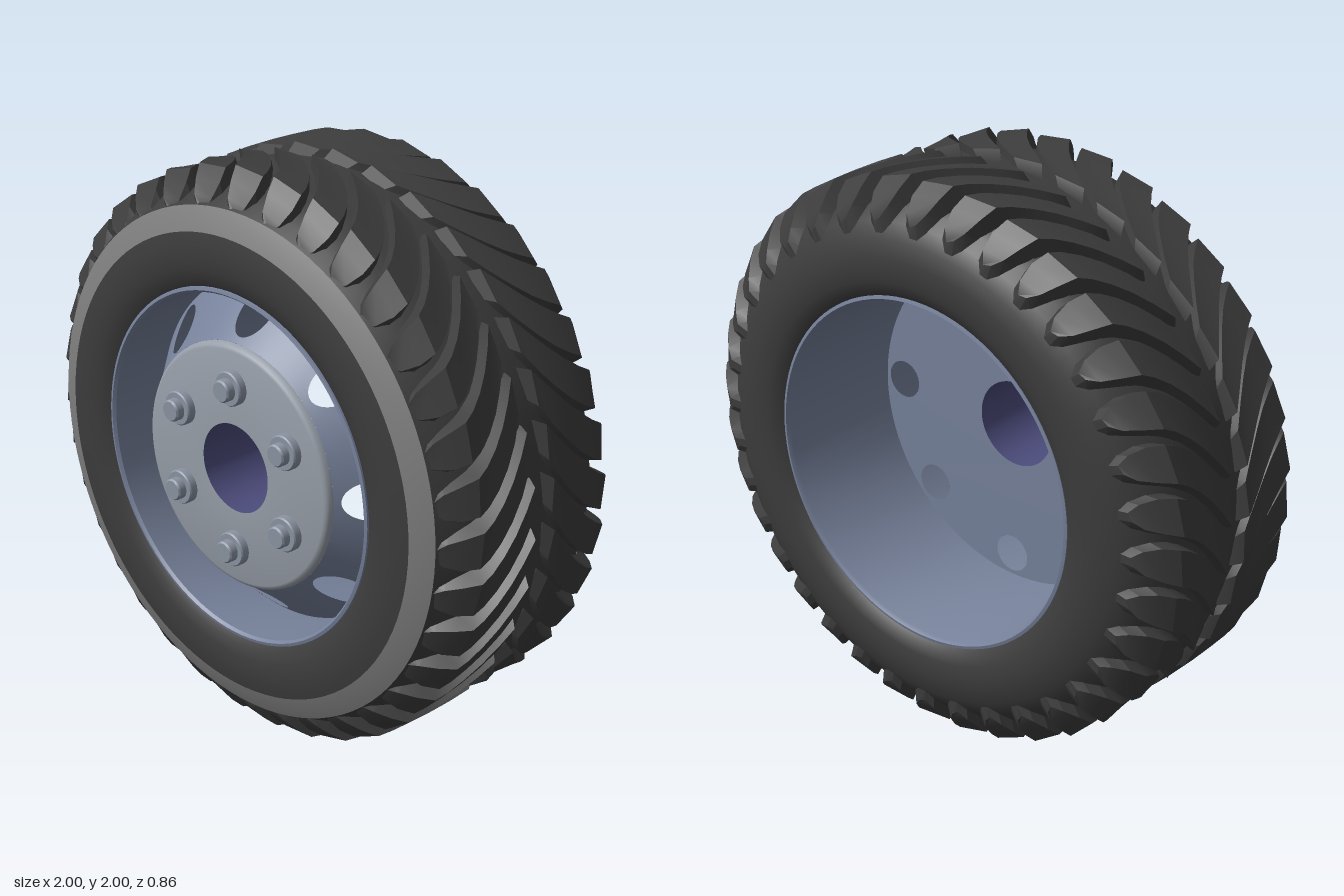
import * as THREE from 'three';
import { toCreasedNormals } from 'three/addons/utils/BufferGeometryUtils.js';

const paint = (name, color) => Object.assign(new THREE.MeshStandardMaterial({ color }), { name });
const rubber = paint('rubber', 0x3c3c3c);
const greyBand = paint('grey band', 0x7d7d7d);
const rimBlue = paint('rim blue', 0x76819a);
const hubGrey = paint('hub grey', 0x979ea8);
const boreViolet = paint('bore violet', 0x4c4c7c);
const boltSteel = paint('bolt steel', 0x8a93a2);

const BACK = 0.1;                 // back plane of the solid wheel disc
const HOLES = 8, HOLE_R = 0.068, HOLE_AT = 0.515, HOLE_TURN = 0.03;
const CONE = { r0: 0.43, r1: 0.598, z0: 0.345, z1: 0.16 };
const coneZ = r => CONE.z0 + (r - CONE.r0) / (CONE.r1 - CONE.r0) * (CONE.z1 - CONE.z0);

function mesh(name, geometry, material) {
  const m = new THREE.Mesh(geometry, material);
  m.name = name;
  return m;
}

// Surface of revolution about z from [radius, z] pairs
function lathe(name, pairs, material, crease = 0.6) {
  const g = new THREE.LatheGeometry(pairs.map(p => new THREE.Vector2(p[0], p[1])), 96);
  g.rotateX(Math.PI / 2);
  return mesh(name, toCreasedNormals(g, crease), material);
}

function fromArrays(positions, index, crease) {
  const g = new THREE.BufferGeometry();
  g.setAttribute('position', new THREE.Float32BufferAttribute(positions, 3));
  g.setIndex(index);
  return toCreasedNormals(g, crease);
}

// Curved lugs: cross-sections swept from the centre groove to the shoulder
function treadRow(side) {
  const count = 36, pitch = Math.PI * 2 / count;
  // distance from groove, outer radius, width as a share of the pitch
  const rows = [
    [0.028, 0.966, 0.62], [0.045, 1.0, 0.72], [0.09, 1.0, 0.8], [0.14, 1.0, 0.82], [0.19, 1.0, 0.82],
    [0.24, 1.0, 0.8], [0.28, 0.997, 0.78], [0.32, 0.958, 0.74], [0.355, 0.912, 0.55], [0.37, 0.878, 0.2]
  ];
  const pos = [], idx = [];
  const tri = (a, b, c) => side > 0 ? idx.push(a, b, c) : idx.push(a, c, b);
  for (let k = 0; k < count; k++) {
    const base = pos.length / 3;
    rows.forEach(([u, r, w]) => {
      const t = 1 - (u - 0.028) / 0.342;
      const mid = k * pitch + 0.3 * t * t;
      const h = w * pitch / 2, z = -0.01 + side * u * (side > 0 ? 1 : 1.07);
      const section = [[-h * 1.1, r - 0.07], [-h * 0.92, r - 0.014], [h * 0.92, r], [h * 1.1, r - 0.07]];
      section.forEach(([a, q]) => pos.push(q * Math.cos(mid + a), q * Math.sin(mid + a), z));
    });
    for (let i = 0; i < rows.length - 1; i++) {
      for (let j = 0; j < 3; j++) {
        const a = base + i * 4 + j;
        tri(a, a + 1, a + 4);
        tri(a + 1, a + 5, a + 4);
      }
    }
    const e = base + (rows.length - 1) * 4;
    tri(base, base + 2, base + 1);
    tri(base, base + 3, base + 2);
    tri(e, e + 1, e + 2);
    tri(e, e + 2, e + 3);
  }
  return fromArrays(pos, idx, 0.45);
}

// Conical face pierced by round holes: one patch per hole, spreading to its sector's edge
function coneAndBores() {
  const cone = [], coneIdx = [], bore = [], boreIdx = [];
  const N = 64, M = 5, half = Math.PI / HOLES;
  const rm = (CONE.r0 + CONE.r1) / 2, rh = (CONE.r1 - CONE.r0) / 2;
  for (let k = 0; k < HOLES; k++) {
    const turn = HOLE_TURN + k * 2 * half;
    const c0 = cone.length / 3, b0 = bore.length / 3;
    for (let i = 0; i <= N; i++) {
      const t = i / N * Math.PI * 2, c = Math.cos(t), s = Math.sin(t);
      const px = HOLE_AT + HOLE_R * c, py = HOLE_R * s;
      const hr = Math.hypot(px, py), ha = Math.atan2(py, px);
      const f = 1 / Math.max(Math.abs(c), Math.abs(s));
      const er = rm + rh * c * f, ea = half * s * f;
      for (let j = 0; j <= M; j++) {
        const r = hr + (er - hr) * j / M, a = turn + ha + (ea - ha) * j / M;
        cone.push(r * Math.cos(a), r * Math.sin(a), coneZ(r));
      }
      const x = hr * Math.cos(turn + ha), y = hr * Math.sin(turn + ha);
      bore.push(x, y, coneZ(hr), x, y, BACK);
      if (i === N) continue;
      for (let j = 0; j < M; j++) {
        const a = c0 + i * (M + 1) + j, b = a + M + 1;
        coneIdx.push(a, a + 1, b, a + 1, b + 1, b);
      }
      const d = b0 + i * 2;
      boreIdx.push(d, d + 2, d + 1, d + 1, d + 2, d + 3);
    }
  }
  // Bore walls face their own axis
  for (let i = 0; i < boreIdx.length; i += 3) {
    [boreIdx[i + 1], boreIdx[i + 2]] = [boreIdx[i + 2], boreIdx[i + 1]];
  }
  return [fromArrays(cone, coneIdx, 0.6), fromArrays(bore, boreIdx, 0.6)];
}

// Flat back of the disc with its openings
function discBack() {
  const shape = new THREE.Shape().absarc(0, 0, 0.598, 0, Math.PI * 2);
  const punch = (x, y, r) => shape.holes.push(new THREE.Path().absarc(x, y, r, 0, Math.PI * 2, true));
  punch(0, 0, 0.155);
  for (let k = 0; k < HOLES; k++) {
    const a = Math.PI - HOLE_TURN - k * Math.PI * 2 / HOLES;
    punch(HOLE_AT * Math.cos(a), HOLE_AT * Math.sin(a), HOLE_R);
  }
  return new THREE.ShapeGeometry(shape, 48).rotateY(Math.PI).translate(0, 0, BACK);
}

export function createModel() {
  const wheel = new THREE.Group();
  wheel.name = 'wheel';
  wheel.position.y = 1;

  // Tyre
  const tyre = new THREE.Group();
  tyre.name = 'tyre';
  tyre.add(
    lathe('tyreCarcass', [
      [0.612, -0.395], [0.635, -0.415], [0.67, -0.427], [0.71, -0.432], [0.75, -0.43], [0.81, -0.415],
      [0.86, -0.388], [0.9, -0.35], [0.935, -0.29], [0.955, -0.2], [0.96, -0.03], [0.96, 0.01],
      [0.955, 0.18], [0.935, 0.26], [0.905, 0.32], [0.88, 0.362]
    ], rubber, 0.8),
    lathe('sidewallBand', [[0.88, 0.362], [0.84, 0.381], [0.8, 0.395]], greyBand),
    lathe('frontSidewall', [
      [0.8, 0.395], [0.76, 0.403], [0.72, 0.405], [0.68, 0.402], [0.64, 0.392], [0.612, 0.375]
    ], rubber),
    mesh('frontTreadLugs', treadRow(1), rubber),
    mesh('backTreadLugs', treadRow(-1), rubber)
  );

  // Rim and disc
  const rim = new THREE.Group();
  rim.name = 'rim';
  const [cone, bores] = coneAndBores();
  rim.add(
    lathe('rimBarrel', [
      [0.62, 0.36], [0.617, 0.385], [0.606, 0.388], [0.598, 0.378], [0.598, -0.39],
      [0.606, -0.405], [0.617, -0.402], [0.62, -0.37]
    ], rimBlue),
    mesh('discCone', cone, rimBlue),
    mesh('discBack', discBack(), rimBlue),
    mesh('ventBores', bores, boreViolet),
    lathe('hubFace', [[0.43, 0.345], [0.427, 0.358], [0.42, 0.366], [0.41, 0.37], [0.155, 0.37]], hubGrey),
    lathe('centreBore', [[0.155, 0.37], [0.155, BACK]], boreViolet)
  );

  // Six wheel bolts: washer plus bevelled head
  const bolts = new THREE.Group();
  bolts.name = 'bolts';
  const boltProfile = [
    [0.06, 0], [0.06, 0.026], [0.056, 0.031], [0.038, 0.031], [0.038, 0.056], [0.033, 0.062], [0, 0.062]
  ].map(p => new THREE.Vector2(p[0], p[1]));
  const boltGeometry = toCreasedNormals(new THREE.LatheGeometry(boltProfile, 24).rotateX(Math.PI / 2), 0.5);
  for (let k = 0; k < 6; k++) {
    const a = Math.PI / 2 + k * Math.PI / 3;
    const bolt = mesh('wheelBolt', boltGeometry, boltSteel);
    bolt.position.set(0.29 * Math.cos(a), 0.29 * Math.sin(a), 0.369);
    bolts.add(bolt);
  }

  wheel.add(tyre, rim, bolts);
  const model = new THREE.Group();
  model.name = 'wheelModel';
  model.add(wheel);
  return model;
}
